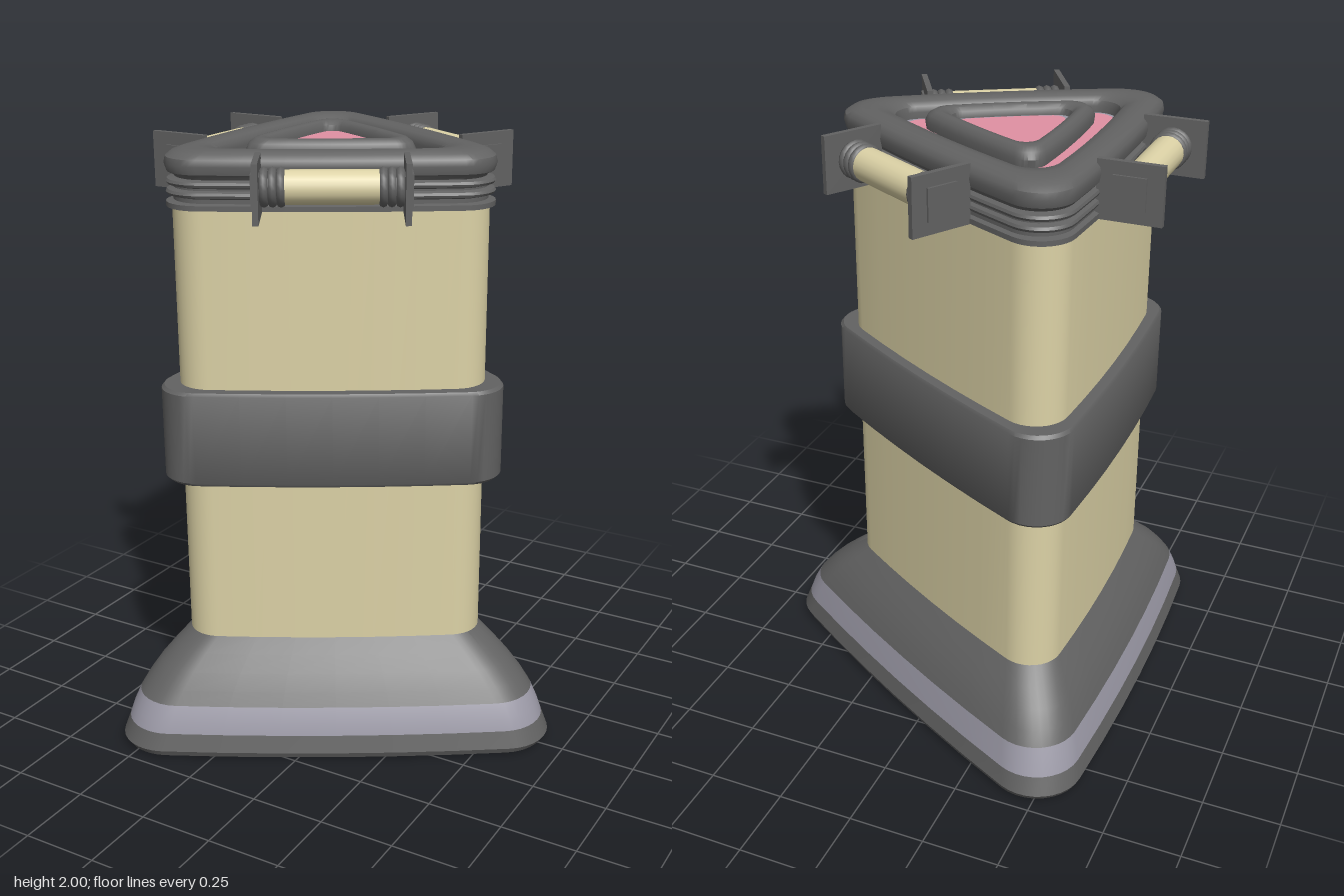
import * as THREE from 'three';
import { toCreasedNormals } from 'three/addons/utils/BufferGeometryUtils.js';

const mat = (name, color) => {
  const m = new THREE.MeshStandardMaterial({ color });
  m.name = name;
  return m;
};

const CX = -0.145, CZ = -0.018; // axis of the canister

// Rounded triangle with gently bowed sides, one tip towards +x
function outline() {
  const R = 0.445, r = 0.105, b = THREE.MathUtils.degToRad(4);
  const rho = r + R * Math.sin(Math.PI / 3) / Math.sin(b);
  const pts = [];
  const arc = (cx, cy, rad, from, to, n) => {
    for (let i = 0; i < n; i++) {
      const a = from + (to - from) * i / n;
      pts.push([cx + rad * Math.cos(a), cy + rad * Math.sin(a)]);
    }
  };
  for (let k = 0; k < 3; k++) {
    const t = k * 2 * Math.PI / 3, h = Math.PI / 3;
    const vx = R * Math.cos(t), vy = R * Math.sin(t), e = t + h - b;
    arc(vx, vy, r, t - h + b, e, 10);
    arc(vx - (rho - r) * Math.cos(e), vy - (rho - r) * Math.sin(e), rho, e, e + 2 * b, 6);
  }
  return pts;
}
const OUTLINE = outline();

// Loft the outline through rows of [y, scale, shiftX, shiftZ]
function loft(name, material, rows, closed = false) {
  const n = OUTLINE.length, pos = [], idx = [];
  const all = closed ? [...rows, rows[0]] : rows;
  for (const [y, s, dx = 0, dz = 0] of all)
    for (const [px, pz] of OUTLINE) pos.push(CX + dx + px * s, y, CZ + dz - pz * s);
  for (let j = 0; j < all.length - 1; j++)
    for (let i = 0; i < n; i++) {
      const k = (i + 1) % n, a = j * n + i, b = j * n + k, c = b + n, d = a + n;
      idx.push(a, b, c, a, c, d);
    }
  if (!closed) {
    const last = all.length - 1, lo = pos.length / 3;
    for (const row of [all[0], all[last]]) {
      const [y, , dx = 0, dz = 0] = row;
      pos.push(CX + dx, y, CZ + dz);
    }
    for (let i = 0; i < n; i++) {
      const k = (i + 1) % n;
      idx.push(lo, k, i, lo + 1, last * n + i, last * n + k);
    }
  }
  const g = new THREE.BufferGeometry();
  g.setAttribute('position', new THREE.Float32BufferAttribute(pos, 3));
  g.setIndex(idx);
  const mesh = new THREE.Mesh(toCreasedNormals(g, 0.65), material);
  mesh.name = name;
  return mesh;
}

// Side handle, built along z at the given distance out on +x
function handle(dark, tan) {
  const g = new THREE.Group();
  const add = (name, geo, m, x, y, z) => {
    const mesh = new THREE.Mesh(geo, m);
    mesh.name = name;
    mesh.position.set(x, y, z);
    g.add(mesh);
    return mesh;
  };
  const d = 0.44, y = 1.905;
  add('grip', new THREE.CylinderGeometry(0.052, 0.052, 0.29, 20), tan, d, y, 0).rotation.x = Math.PI / 2;
  for (const s of [-1, 1]) {
    add('handlePlate', new THREE.BoxGeometry(0.2, 0.18, 0.018), dark, d, 1.9, s * 0.222);
    add('plateBoss', new THREE.BoxGeometry(0.1, 0.1, 0.008), dark, d, 1.9, s * 0.234);
    add('gripCollar', new THREE.CylinderGeometry(0.05, 0.05, 0.085, 20), dark, d, y, s * 0.177).rotation.x = Math.PI / 2;
    for (const z of [0.15, 0.175, 0.2])
      add('collarRing', new THREE.TorusGeometry(0.046, 0.014, 8, 20), dark, d, y, s * z);
  }
  return g;
}

export function createModel() {
  const dark = mat('dark grey', 0x626262);
  const tan = mat('sand', 0xdcd2a6);
  const light = mat('light grey', 0x9b99a6);
  const pink = mat('pink', 0xe090a3);
  const model = new THREE.Group();
  model.name = 'canister';

  // Flared foot with a light stripe
  const ox = 0.014, oz = 0.018;
  model.add(
    loft('footBottom', dark, [[0, 1.38, ox, oz], [0.01, 1.45, ox, oz], [0.03, 1.475, ox, oz], [0.088, 1.43, ox, oz]]),
    loft('footStripe', light, [[0.088, 1.43, ox, oz], [0.13, 1.4, ox, oz], [0.177, 1.355, 0.012, 0.014]]),
    loft('footTop', dark, [[0.177, 1.355, 0.012, 0.014], [0.22, 1.295, 0.009, 0.01], [0.27, 1.21, 0.006, 0.007],
      [0.32, 1.105, 0.003, 0.003], [0.365, 1]]),
  );

  // Body and waist band
  model.add(
    loft('body', tan, [[0.36, 1], [1.82, 1]]),
    loft('waistBand', dark, [[0.925, 1], [0.925, 1.1], [0.935, 1.118], [1.23, 1.118], [1.24, 1.1], [1.24, 1]]),
  );

  // Ribbed lid with a rounded rim and a recessed middle
  model.add(loft('lid', dark, [
    [1.81, 1.0], [1.812, 1.035], [1.828, 1.035], [1.832, 0.99], [1.845, 0.99],
    [1.85, 1.025], [1.858, 1.035], [1.866, 1.025], [1.871, 0.99], [1.877, 0.99],
    [1.882, 1.025], [1.89, 1.035], [1.898, 1.025], [1.903, 0.98], [1.91, 0.99],
    [1.92, 1.025], [1.945, 1.04], [1.965, 1.03], [1.98, 0.99], [1.988, 0.93],
    [1.99, 0.84], [1.985, 0.76], [1.972, 0.72], [1.955, 0.71], [1.93, 0.71],
  ]));

  // Inner raised ring and coloured insets
  model.add(
    loft('recessTrim', light, [[1.93, 0.705], [1.935, 0.705]]),
    loft('recessFloor', pink, [[1.935, 0.67, -0.006, -0.006], [1.94, 0.67, -0.006, -0.006]]),
    loft('innerRing', dark, [[1.93, 0.53], [1.965, 0.54], [1.985, 0.52], [1.998, 0.48], [2.0, 0.45],
      [1.997, 0.41], [1.985, 0.38], [1.965, 0.37], [1.93, 0.37]], true),
    loft('centreTrim', light, [[1.93, 0.39], [1.965, 0.39]]),
    loft('centrePanel', pink, [[1.965, 0.335, 0, -0.004], [1.969, 0.335, 0, -0.004]]),
  );

  // One handle on each flat side
  for (const a of [1, 3, 5]) {
    const h = handle(dark, tan);
    h.name = 'handle';
    h.position.set(-0.14, 0, -0.021);
    h.rotation.y = a * Math.PI / 3;
    model.add(h);
  }
  return model;
}
